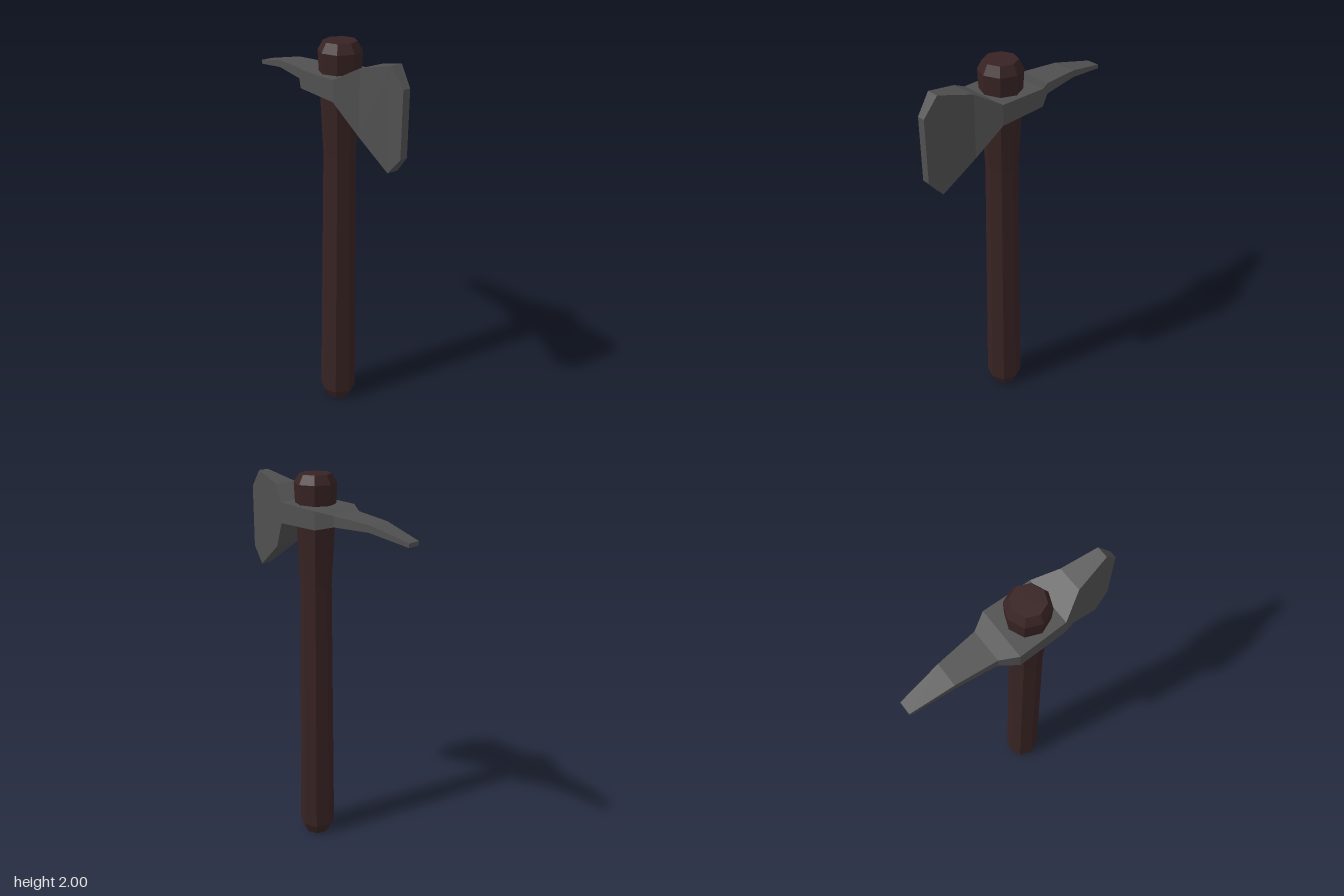
import * as THREE from 'three';

const steel = new THREE.MeshStandardMaterial({ color: 0x505050 });
steel.name = 'dark steel';
const wood = new THREE.MeshStandardMaterial({ color: 0x382323 });
wood.name = 'dark wood';

// Facet a geometry so every face is flat.
function faceted(geometry) {
  const flat = geometry.index ? geometry.toNonIndexed() : geometry;
  flat.computeVertexNormals();
  return flat;
}

// Rectangular cross-sections [x, bottom, top, half depth] joined along x.
function loftHead(sections) {
  const positions = [];
  const index = [];
  for (const [x, low, high, depth] of sections) {
    positions.push(x, low, -depth, x, low, depth, x, high, depth, x, high, -depth);
  }
  for (let i = 0; i < sections.length - 1; i++) {
    for (let k = 0; k < 4; k++) {
      const a = i * 4 + k;
      const b = i * 4 + ((k + 1) % 4);
      index.push(a, a + 4, b + 4, a, b + 4, b);
    }
  }
  const e = (sections.length - 1) * 4;
  index.push(0, 1, 2, 0, 2, 3, e, e + 2, e + 1, e, e + 3, e + 2);
  const geometry = new THREE.BufferGeometry();
  geometry.setAttribute('position', new THREE.Float32BufferAttribute(positions, 3));
  geometry.setIndex(index);
  return faceted(geometry);
}

export function createModel() {
  const group = new THREE.Group();
  group.name = 'pickAxe';

  // Octagonal handle: chamfered ends, slim neck, flared top
  const profile = [
    [0, 0], [0.068, 0], [0.095, 0.06], [0.079, 1.45], [0.105, 1.955], [0.08, 2], [0, 2],
  ].map(([r, y]) => new THREE.Vector2(r, y));
  const handle = new THREE.Mesh(faceted(new THREE.LatheGeometry(profile, 8)), wood);
  handle.name = 'handle';
  handle.position.x = 0.086;
  group.add(handle);

  // Head: pick on the right, socket around the handle, blade on the left
  const head = new THREE.Mesh(loftHead([
    [-0.55, 1.755, 1.775, 0.033],
    [-0.335, 1.79, 1.825, 0.06],
    [-0.13, 1.785, 1.838, 0.083],
    [-0.05, 1.765, 1.855, 0.131],
    [0.195, 1.76, 1.862, 0.125],
    [0.307, 1.615, 1.93, 0.063],
    [0.477, 1.485, 1.975, 0.029],
    [0.547, 1.57, 1.885, 0.019],
  ]), steel);
  head.name = 'axeHead';
  head.position.z = -0.002;
  group.add(head);

  return group;
}
